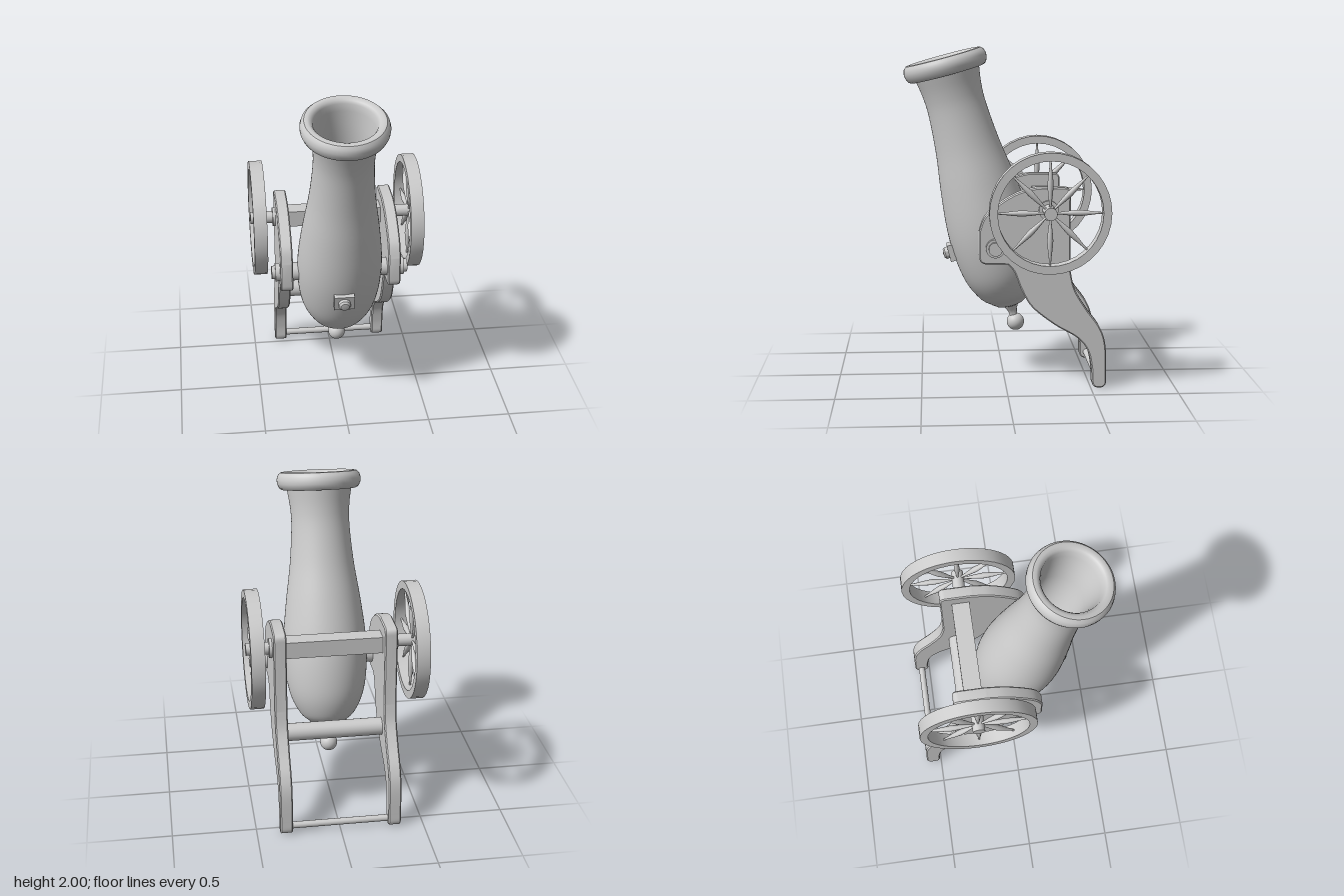
import * as THREE from 'three';
import { toCreasedNormals } from 'three/addons/utils/BufferGeometryUtils.js';

const material = new THREE.MeshStandardMaterial({ color: 0xcccccc });
const vectors = (list) => list.map(([x, y]) => new THREE.Vector2(x, y));

function add(parent, name, geometry, x = 0, y = 0, z = 0) {
  const mesh = new THREE.Mesh(geometry, material);
  mesh.name = name;
  mesh.position.set(x, y, z);
  parent.add(mesh);
  return mesh;
}

// Turned part around the y axis
const turned = (list, segments = 48, crease = 0.6) =>
  toCreasedNormals(new THREE.LatheGeometry(vectors(list), segments), crease);

// Round bar lying along x
const bar = (radius, length, segments = 24) =>
  new THREE.CylinderGeometry(radius, radius, length, segments).rotateZ(Math.PI / 2);

// Barrel, tilted about its trunnions; local y runs along the bore
function makeBarrel() {
  const barrel = new THREE.Group();
  barrel.name = 'barrel';
  barrel.position.set(0, 0.85, 0.066);
  barrel.rotation.x = THREE.MathUtils.degToRad(15);

  const body = new THREE.SplineCurve(vectors([
    [0.115, -0.4], [0.165, -0.355], [0.215, -0.26], [0.242, -0.15], [0.255, 0], [0.25, 0.155],
    [0.226, 0.36], [0.194, 0.58], [0.176, 0.8], [0.179, 0.92], [0.195, 1.03],
  ])).getPoints(44).map((p) => [p.x, p.y]);
  const lip = [[0.225, 1.025], [0.24, 1.035], [0.251, 1.06], [0.253, 1.085], [0.246, 1.11],
    [0.23, 1.127], [0.21, 1.13], [0.192, 1.122], [0.181, 1.105]];
  const bore = [[0.174, 1.06], [0.16, 0.98], [0.15, 0.85], [0.15, 0.3], [0.13, 0.22], [0.08, 0.17], [0, 0.15]];
  add(barrel, 'barrelBody', turned([...body, ...lip, ...bore], 64));

  // Breech ring, neck and ball
  add(barrel, 'breechRing', turned([
    [0, -0.44], [0.045, -0.438], [0.085, -0.425], [0.115, -0.402], [0.125, -0.385], [0.12, -0.37], [0, -0.36],
  ]));
  add(barrel, 'breechNeck', turned([
    [0.024, -0.52], [0.024, -0.49], [0.03, -0.465], [0.042, -0.445], [0.046, -0.43],
  ], 24));
  add(barrel, 'breechBall', new THREE.SphereGeometry(0.053, 32, 20), 0, -0.546, 0);

  // Vent block with its round plug
  add(barrel, 'ventBlock', new THREE.BoxGeometry(0.12, 0.1, 0.08), 0, -0.02, 0.24);
  add(barrel, 'ventPlug', turned([
    [0.036, 0], [0.036, 0.025], [0.026, 0.036], [0, 0.04],
  ], 24).rotateX(Math.PI / 2), 0, -0.02, 0.275);
  return barrel;
}

// Side plate: profile drawn as (z, y), thickness along x
function cheekGeometry() {
  const s = new THREE.Shape();
  s.moveTo(-0.335, 1.2);
  s.quadraticCurveTo(-0.372, 1.2, -0.372, 1.16);
  s.lineTo(-0.373, 0.716);
  s.splineThru(vectors([[-0.4, 0.6], [-0.468, 0.483], [-0.548, 0.371], [-0.585, 0.255], [-0.592, 0.04]]));
  s.quadraticCurveTo(-0.59, 0, -0.55, 0);
  s.quadraticCurveTo(-0.508, 0, -0.506, 0.04);
  s.splineThru(vectors([[-0.503, 0.12], [-0.479, 0.228], [-0.415, 0.308], [-0.283, 0.387], [-0.151, 0.493],
    [-0.087, 0.6], [-0.045, 0.705], [-0.008, 0.75]]));
  s.lineTo(0.115, 0.753);
  s.quadraticCurveTo(0.16, 0.755, 0.16, 0.8);
  s.lineTo(0.16, 0.944);
  s.splineThru(vectors([[0.124, 1.034], [0.034, 1.114], [-0.07, 1.172], [-0.177, 1.2]]));
  s.closePath();
  const geometry = new THREE.ExtrudeGeometry(s, {
    depth: 0.061, curveSegments: 6, bevelEnabled: true,
    bevelThickness: 0.007, bevelSize: 0.007, bevelOffset: -0.007, bevelSegments: 1,
  });
  geometry.translate(0, 0, -0.0305).rotateY(-Math.PI / 2);
  return toCreasedNormals(geometry, 0.5);
}

// Wheel centred on its own origin, axle along x
function makeWheel() {
  const wheel = new THREE.Group();
  wheel.name = 'wheel';
  const rim = [[0.302, -0.04], [0.35, -0.04], [0.35, 0.04], [0.302, 0.04], [0.302, -0.04]];
  add(wheel, 'wheelRim', turned(rim, 36, 0.5).rotateZ(Math.PI / 2));
  add(wheel, 'wheelHub', bar(0.036, 0.08));
  const spoke = new THREE.LatheGeometry(vectors([
    [0.006, 0.02], [0.008, 0.06], [0.014, 0.11], [0.018, 0.16], [0.014, 0.21], [0.008, 0.26], [0.005, 0.306],
  ]), 12);
  for (let i = 0; i < 8; i++) {
    add(wheel, 'wheelSpoke', spoke).rotation.x = (i * Math.PI) / 4;
  }
  return wheel;
}

export function createModel() {
  const model = new THREE.Group();
  model.name = 'cannon';
  model.add(makeBarrel());

  const cheek = cheekGeometry();
  const axleY = 1.07, axleZ = -0.243;
  for (const side of [1, -1]) {
    add(model, 'cheek', cheek, side * 0.325, 0, 0);

    // Trunnion with its end cap
    add(model, 'trunnion', bar(0.055, 0.24), side * 0.27, 0.85, 0.066);
    add(model, 'trunnionCap', bar(0.04, 0.03), side * 0.397, 0.85, 0.066);

    // Axle stub, collar and wheel
    add(model, 'axle', bar(0.037, 0.19), side * 0.42, axleY, axleZ);
    add(model, 'axleCollar', bar(0.058, 0.025), side * 0.367, axleY, axleZ);
    const wheel = makeWheel();
    wheel.position.set(side * 0.47, axleY, axleZ);
    model.add(wheel);
  }

  // Cross members joining the cheeks
  add(model, 'crossBeam', new THREE.BoxGeometry(0.6, 0.1, 0.108), 0, 1.07, -0.248);
  add(model, 'crossBar', bar(0.053, 0.6), 0, 0.53, -0.292);
  add(model, 'footRod', bar(0.02, 0.6), 0, 0.042, -0.55);
  return model;
}
